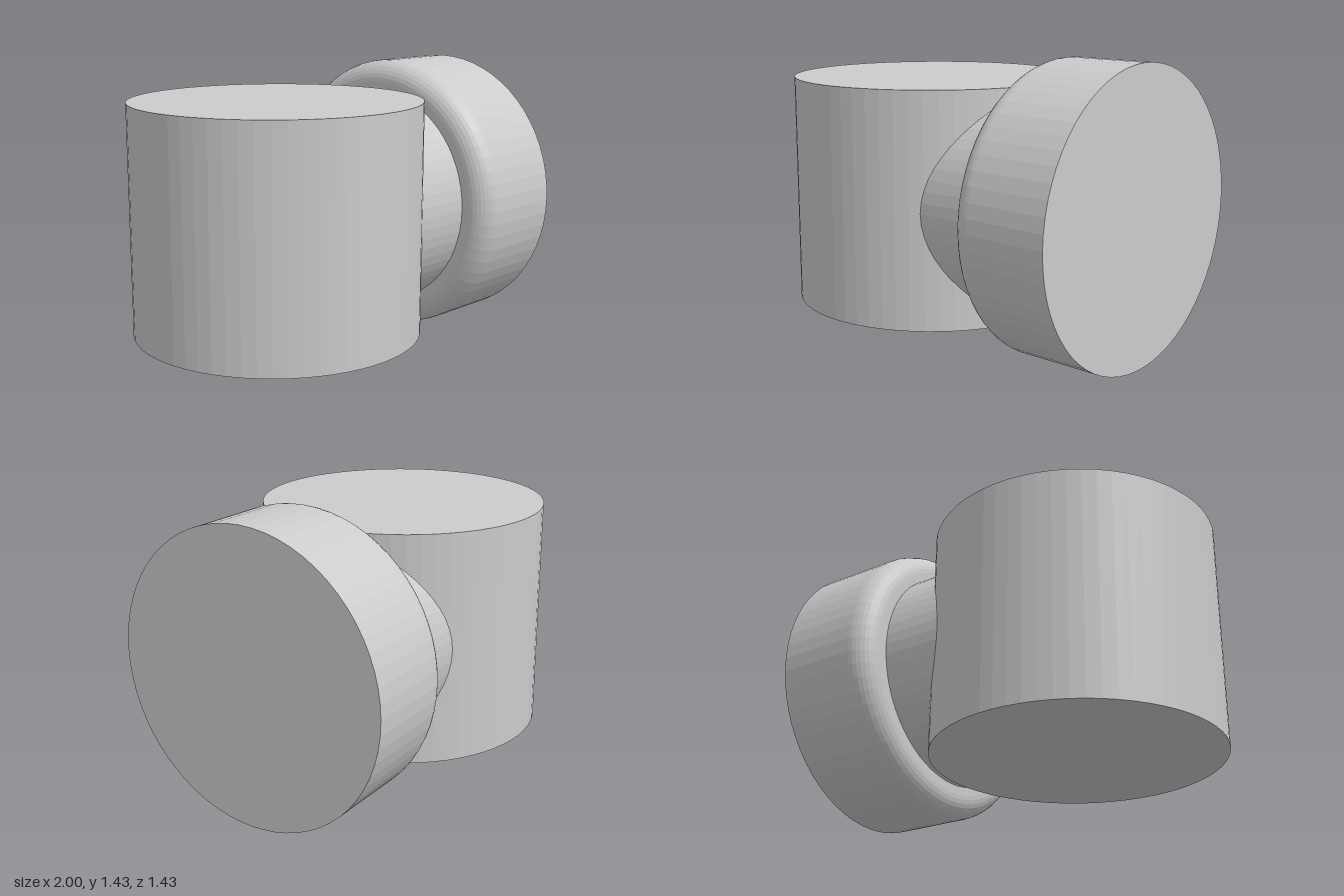
import * as THREE from 'three';

const SIDES = 64;
const AXIS_Y = 0.717; // height of the horizontal axis

export function createModel() {
  const group = new THREE.Group();
  const material = new THREE.MeshStandardMaterial({ color: 0xcccccc, flatShading: true });

  const add = (name, geometry, x, y, tilt = 0) => {
    const mesh = new THREE.Mesh(geometry, material);
    mesh.name = name;
    mesh.position.set(x, y, 0);
    mesh.rotation.z = tilt;
    group.add(mesh);
  };

  // Upright drum
  add('body', new THREE.CylinderGeometry(0.715, 0.715, 1.15, SIDES), -0.285, 0.72);

  // Horizontal neck, running from inside the drum into the cap
  add('neck', new THREE.CylinderGeometry(0.563, 0.563, 0.8, SIDES), 0.1, AXIS_Y, -Math.PI / 2);

  // Cap: rounded rim towards the drum, sharp edge on the outer face
  const radius = 0.717, depth = 0.53, fillet = 0.11;
  const profile = [new THREE.Vector2(0, 0)];
  for (let i = 0; i <= 8; i++) {
    const a = (i / 8) * Math.PI / 2;
    profile.push(new THREE.Vector2(
      radius - fillet + fillet * Math.sin(a),
      fillet - fillet * Math.cos(a)
    ));
  }
  profile.push(new THREE.Vector2(radius, depth), new THREE.Vector2(0, depth));
  add('cap', new THREE.LatheGeometry(profile, SIDES), 0.47, AXIS_Y, -Math.PI / 2);

  return group;
}
